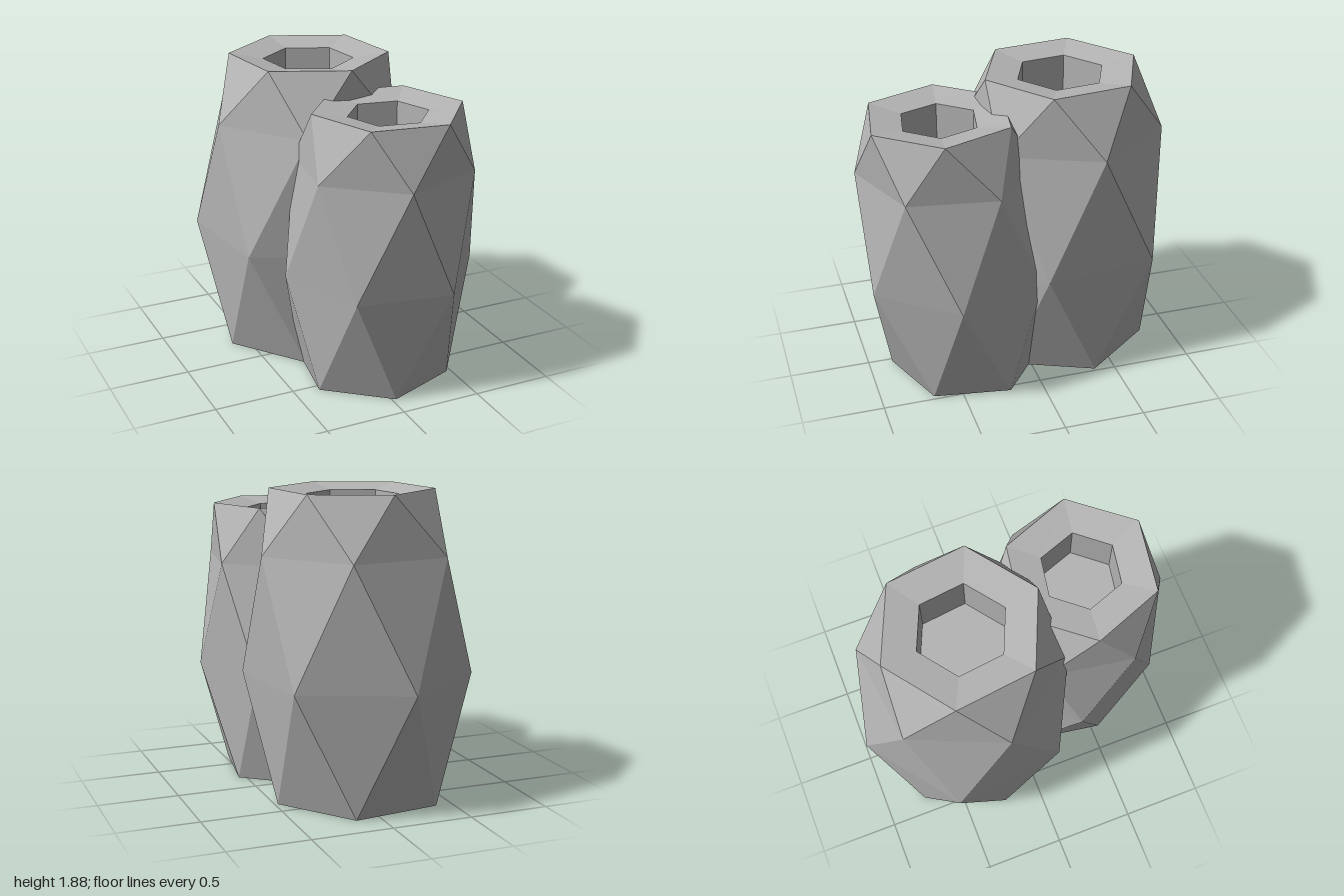
import * as THREE from 'three';

const SIDES = 6;

// Each ring: [y, centre x, centre z, radius, angle in degrees]
function ringPoints([y, cx, cz, r, deg]) {
  return Array.from({ length: SIDES }, (_, k) => {
    const a = THREE.MathUtils.degToRad(deg + (k * 360) / SIDES);
    return [cx + r * Math.cos(a), y, cz + r * Math.sin(a)];
  });
}

// Skin of triangles through the rings, from the base up, over the rim and into the hole
function facetedVase(rings) {
  const pos = [];
  const tri = (a, b, c) => pos.push(...a, ...b, ...c);
  const loops = rings.map(ringPoints);
  const [, bx, bz] = rings[0];
  const [fy, fx, fz] = rings[rings.length - 1];
  for (let k = 0; k < SIDES; k++) {
    const n = (k + 1) % SIDES;
    for (let i = 0; i < loops.length - 1; i++) {
      const a = loops[i], b = loops[i + 1];
      tri(a[k], b[k], a[n]);
      tri(b[k], b[n], a[n]);
    }
    // closed base and floor of the hole
    const first = loops[0], last = loops[loops.length - 1];
    tri([bx, 0, bz], first[k], first[n]);
    tri([fx, fy, fz], last[n], last[k]);
  }
  const geo = new THREE.BufferGeometry();
  geo.setAttribute('position', new THREE.Float32BufferAttribute(pos, 3));
  geo.computeVertexNormals();
  return geo;
}

export function createModel() {
  const group = new THREE.Group();
  group.name = 'twinFacetedVases';
  const stone = new THREE.MeshStandardMaterial({ color: 0xb4b4b4 });
  stone.name = 'stone grey';
  stone.flatShading = true;

  const vases = {
    // taller vase at the back
    backVase: [
      [0, -0.065, -0.305, 0.55, -7],
      [0.76, -0.06, -0.3, 0.7, 23],
      [1.51, -0.047, -0.293, 0.62, 53],
      [1.88, -0.03, -0.283, 0.495, 83],
      [1.845, -0.035, -0.28, 0.28, 83],
      [1.55, -0.035, -0.28, 0.28, 83],
    ],
    // shorter vase at the front
    frontVase: [
      [0, 0.1, 0.378, 0.478, -21],
      [0.7, 0.11, 0.44, 0.59, 9.5],
      [1.38, 0.105, 0.475, 0.545, 39],
      [1.73, 0.113, 0.515, 0.46, 69],
      [1.695, 0.115, 0.515, 0.247, 70],
      [1.42, 0.115, 0.515, 0.247, 70],
    ],
  };
  for (const [name, rings] of Object.entries(vases)) {
    const mesh = new THREE.Mesh(facetedVase(rings), stone);
    mesh.name = name;
    group.add(mesh);
  }
  return group;
}
